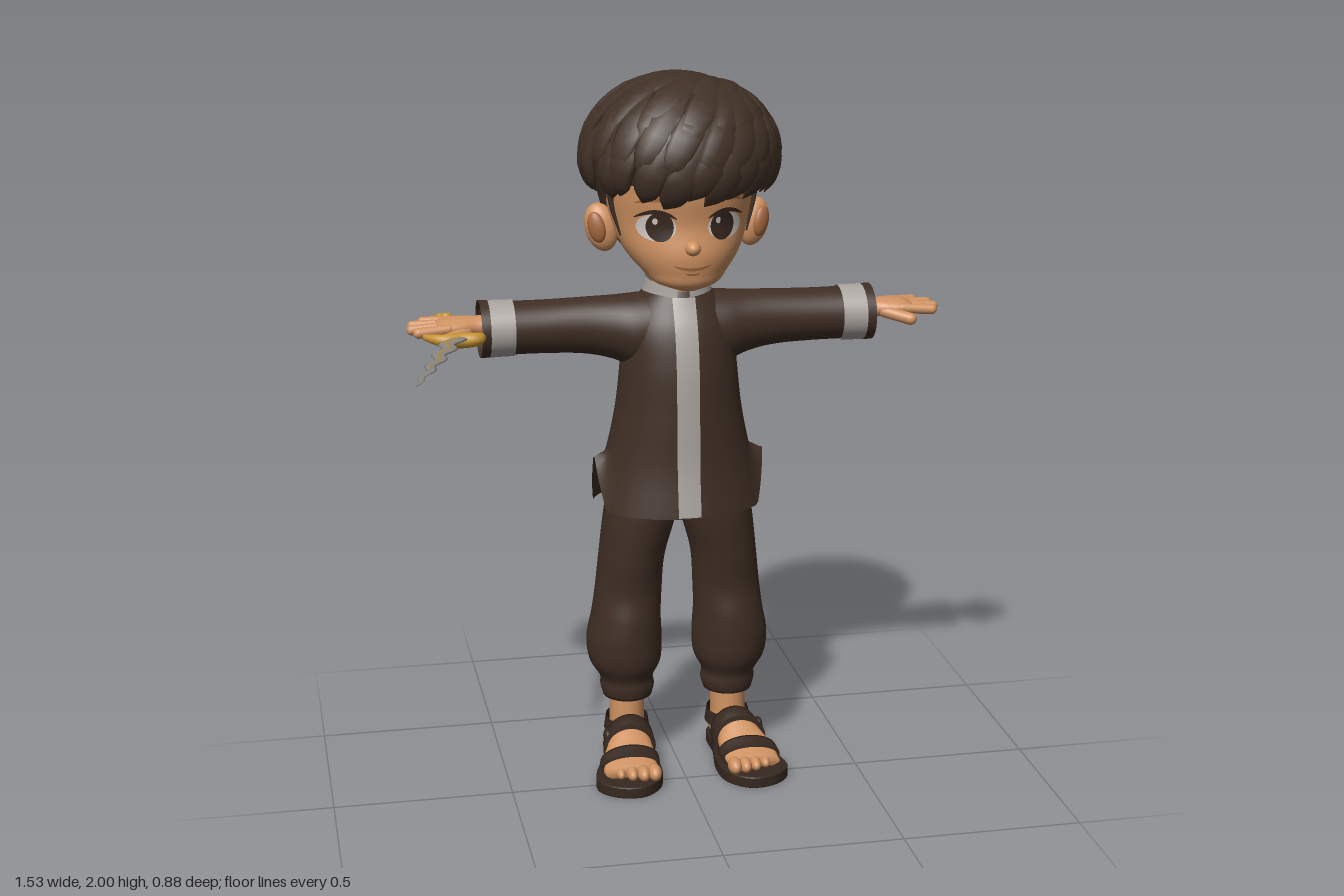
import * as THREE from 'three';

const mat = (name, color, side = THREE.FrontSide) => {
  const m = new THREE.MeshStandardMaterial({ color, side });
  m.name = name;
  return m;
};
const skin = mat('skin', 0xcf9262), shade = mat('skinShade', 0xa5683f);
const hair = mat('hair', 0x413126, THREE.DoubleSide), cloth = mat('cloth', 0x3f2e24, THREE.DoubleSide);
const trim = mat('trim', 0xaaa49f, THREE.DoubleSide), sandal = mat('sandal', 0x36281f, THREE.DoubleSide);
const gold = mat('gold', 0xc49132), steel = mat('steel', 0x8d8883);
const white = mat('eyeWhite', 0xd0c8c2), iris = mat('iris', 0x38281f);

let seed = 7;
const rand = () => (seed = (seed * 16807) % 2147483647) / 2147483647;
const V = (x, y, z) => new THREE.Vector3(x, y, z);

export function createModel() {
  const root = new THREE.Group();
  root.name = 'swordBoy';
  const add = (name, geo, m, parent = root) => {
    const mesh = new THREE.Mesh(geo, m);
    mesh.name = name;
    parent.add(mesh);
    return mesh;
  };

  // Surface through rings of points
  const surface = (rings, closed = true, caps = true, flip = false) => {
    const n = rings[0].length, pos = [], idx = [];
    const tri = (a, b, c) => flip ? idx.push(a, c, b) : idx.push(a, b, c);
    rings.forEach(r => r.forEach(p => pos.push(p.x, p.y, p.z)));
    for (let i = 0; i < rings.length - 1; i++) for (let j = 0; j < (closed ? n : n - 1); j++) {
      const k = (j + 1) % n, a = i * n + j, b = i * n + k;
      tri(a, a + n, b);
      tri(b, a + n, b + n);
    }
    if (caps && closed) [0, rings.length - 1].forEach((ri, end) => {
      const c = rings[ri].reduce((s, p) => s.add(p), V(0, 0, 0)).divideScalar(n), ci = pos.length / 3;
      pos.push(c.x, c.y, c.z);
      for (let j = 0; j < n; j++) {
        const a = ri * n + j, b = ri * n + (j + 1) % n;
        end ? tri(ci, b, a) : tri(ci, a, b);
      }
    });
    const g = new THREE.BufferGeometry();
    g.setAttribute('position', new THREE.Float32BufferAttribute(pos, 3));
    g.setIndex(idx);
    g.computeVertexNormals();
    return g;
  };

  // Sections are [t, centreA, centreB, radiusA, radiusB]; axes: y (x,z), x (z,y), z (y,x)
  const sampler = secs => {
    const it = new THREE.CubicInterpolant(secs.map(s => s[0]), secs.flatMap(s => s.slice(1)), 4);
    return t => Array.from(it.evaluate(t));
  };
  const loft = (secs, axis = 'y', o = {}) => {
    const { s = 1, grow = 0, n = 40, rows = 40, arc = null, open = false } = o;
    const from = o.from ?? secs[0][0], to = o.to ?? secs.at(-1)[0], f = sampler(secs), rings = [];
    for (let i = 0; i <= rows; i++) {
      const t = from + (to - from) * i / rows, [a, b, ra, rb] = f(t), ring = [];
      for (let j = 0; j < (arc ? n + 1 : n); j++) {
        const th = arc ? arc[0] + (arc[1] - arc[0]) * j / n : j / n * Math.PI * 2;
        const p = a + Math.max(ra + grow, 0.001) * Math.cos(th), q = b + Math.max(rb + grow, 0.001) * Math.sin(th);
        ring.push(axis === 'y' ? V(p * s, t, q) : axis === 'x' ? V(t * s, q, p) : V(q * s, p, t));
      }
      rings.push(ring);
    }
    return surface(rings, !arc, !open, s < 0);
  };

  // Tapered lens-shaped strand along a path
  const strand = (pts, up, width, thick, n = 8, rows = 12) => {
    const curve = new THREE.CatmullRomCurve3(pts), rings = [];
    for (let i = 0; i <= rows; i++) {
      const t = i / rows, p = curve.getPoint(t), T = curve.getTangent(t);
      const B = T.clone().cross(up(p)).normalize(), N = B.clone().cross(T).normalize();
      rings.push(Array.from({ length: n }, (_, j) => p.clone()
        .addScaledVector(B, width(t) * Math.cos(j / n * Math.PI * 2))
        .addScaledVector(N, thick(t) * Math.sin(j / n * Math.PI * 2))));
    }
    return surface(rings);
  };
  const rod = (name, a, b, r, m, parent) => {
    const d = b.clone().sub(a), mesh = add(name, new THREE.CapsuleGeometry(r, d.length(), 6, 14), m, parent);
    mesh.position.copy(a).addScaledVector(d, 0.5);
    mesh.quaternion.setFromUnitVectors(V(0, 1, 0), d.normalize());
  };
  const ball = (name, x, y, z, rx, ry, rz, m, parent) => {
    const b = add(name, new THREE.SphereGeometry(1, 24, 16), m, parent);
    b.position.set(x, y, z);
    b.scale.set(rx, ry, rz);
    return b;
  };

  // Tunic with pointed side slits
  const tunicS = [[0.775, 0, -0.195, 0.243, 0.185], [0.9, 0, -0.19, 0.212, 0.163], [1.05, 0, -0.182, 0.18, 0.15],
    [1.2, 0, -0.18, 0.163, 0.14], [1.3, 0, -0.187, 0.155, 0.125], [1.36, 0, -0.193, 0.125, 0.103], [1.4, 0, -0.193, 0.085, 0.085]];
  const tunic = loft(tunicS, 'y', { n: 96, rows: 60, open: true }), tp = tunic.attributes.position;
  for (let i = 0; i < tp.count; i++) {
    const y = tp.getY(i), lift = 0.16 * Math.max(0, 1 - Math.abs(tp.getZ(i) + 0.175) / 0.065);
    if (y < 0.94) tp.setY(i, y + lift * (0.94 - y) / 0.165);
  }
  tunic.computeVertexNormals();
  add('tunic', tunic, cloth);
  const onFront = (f, x, y) => {
    const [a, b, ra, rb] = f(y);
    return b + rb * Math.sqrt(Math.max(0, 1 - ((x - a) / ra) ** 2));
  };
  const strip = new THREE.PlaneGeometry(0.064, 0.605, 6, 40).translate(0, 1.082, 0), tf = sampler(tunicS);
  const sp = strip.attributes.position;
  for (let i = 0; i < sp.count; i++) sp.setZ(i, onFront(tf, sp.getX(i), sp.getY(i)) + 0.005);
  strip.computeVertexNormals();
  add('frontTrim', strip, trim);

  // Standing collar, open at the front and higher at the back
  const collar = loft([[1.375, 0, -0.193, 0.1, 0.098], [1.4, 0, -0.193, 0.094, 0.093], [1.432, 0, -0.193, 0.09, 0.09]], 'y',
    { arc: [Math.PI * 0.56, Math.PI * 2.44], n: 48, rows: 6 });
  const cp = collar.attributes.position;
  for (let i = 0; i < cp.count; i++) cp.setY(i, cp.getY(i) - (cp.getZ(i) + 0.193) * 0.2);
  collar.computeVertexNormals();
  add('collar', collar, trim);
  add('neck', loft([[1.34, 0, -0.193, 0.078, 0.078], [1.42, 0, -0.188, 0.07, 0.07], [1.52, 0, -0.18, 0.075, 0.075]]), skin);

  const armS = [[0.04, -0.19, 1.29, 0.1, 0.1], [0.13, -0.19, 1.28, 0.096, 0.103], [0.18, -0.19, 1.29, 0.084, 0.09],
    [0.25, -0.19, 1.298, 0.074, 0.08], [0.38, -0.193, 1.3, 0.074, 0.074], [0.552, -0.195, 1.3, 0.082, 0.075]];
  const legS = [[0.195, 0.148, -0.198, 0.07, 0.074], [0.225, 0.148, -0.2, 0.078, 0.083], [0.25, 0.15, -0.2, 0.076, 0.084],
    [0.3, 0.153, -0.205, 0.102, 0.112], [0.37, 0.155, -0.207, 0.108, 0.122], [0.44, 0.15, -0.203, 0.1, 0.117],
    [0.52, 0.143, -0.2, 0.096, 0.104], [0.62, 0.134, -0.196, 0.094, 0.113], [0.76, 0.108, -0.192, 0.103, 0.123], [0.92, 0.09, -0.19, 0.09, 0.115]];
  const footS = [[-0.272, 0.06, 0.15, 0.022, 0.025], [-0.25, 0.066, 0.15, 0.045, 0.046], [-0.2, 0.075, 0.15, 0.055, 0.055],
    [-0.11, 0.075, 0.158, 0.062, 0.06], [-0.03, 0.058, 0.172, 0.036, 0.076], [0.04, 0.048, 0.177, 0.02, 0.075]];
  const soleOutline = [[0.15, -0.29], [0.195, -0.262], [0.215, -0.15], [0.262, -0.03], [0.27, 0.045], [0.225, 0.095],
    [0.155, 0.105], [0.1, 0.055], [0.085, -0.03], [0.1, -0.15], [0.105, -0.262]];

  for (const s of [1, -1]) {
    const side = s > 0 ? 'left' : 'right';
    const arm = new THREE.Group(), leg = new THREE.Group();
    arm.name = side + 'Arm';
    leg.name = side + 'Leg';
    root.add(arm, leg);

    // Sleeve, cuff band and hand
    add('sleeve', loft(armS, 'x', { s, open: true }), cloth, arm);
    add('sleeveEnd', loft(armS, 'x', { s, from: 0.528, to: 0.553, grow: 0.004, rows: 3, open: true }), cloth, arm);
    add('cuffBand', loft(armS, 'x', { s, from: 0.46, to: 0.528, grow: 0.004, rows: 6, open: true }), trim, arm);
    add('hand', loft([[0.48, -0.195, 1.305, 0.042, 0.036], [0.56, -0.195, 1.31, 0.036, 0.028], [0.6, -0.197, 1.312, 0.05, 0.026],
      [0.645, -0.2, 1.313, 0.058, 0.022], [0.67, -0.2, 1.313, 0.045, 0.012]], 'x', { s }), skin, arm);
    [[-0.248, -0.275, 0.7], [-0.217, -0.232, 0.732], [-0.184, -0.186, 0.737], [-0.153, -0.145, 0.722]].forEach(([z0, z1, x]) =>
      rod('finger', V(s * 0.64, 1.313, z0), V(s * x, 1.308, z1), 0.0145, skin, arm));
    rod('thumb', V(s * 0.59, 1.303, -0.165), V(s * 0.655, 1.288, -0.123), 0.017, skin, arm);

    // Trouser leg, foot and sandal
    add('trouserLeg', loft(legS, 'y', { s, rows: 70 }), cloth, leg);
    add('ankle', loft([[0.06, 0.15, -0.2, 0.052, 0.062], [0.14, 0.15, -0.2, 0.05, 0.058], [0.24, 0.148, -0.2, 0.052, 0.056]], 'y', { s }), skin, leg);
    add('foot', loft(footS, 'z', { s }), skin, leg);
    for (let i = 0; i < 5; i++) {
      const r = 0.023 - i * 0.002;
      ball('toe', s * (0.116 + i * 0.031), 0.03 + r, 0.06 - i * i * 0.0035, r * 0.85, r, 0.034, skin, leg);
    }
    const outline = new THREE.CatmullRomCurve3(soleOutline.map(([x, z]) => V(s * x, -z, 0)), true).getPoints(60);
    add('sole', new THREE.ExtrudeGeometry(new THREE.Shape(outline.map(p => new THREE.Vector2(p.x, p.y))),
      { depth: 0.026, bevelSize: 0.004, bevelThickness: 0.004, bevelSegments: 2 }).rotateX(-Math.PI / 2).translate(0, 0.004, 0), sandal, leg);
    const strap = (from, to, grow) => add('strap', loft(footS, 'z', { s, from, to, grow, rows: 6 }), sandal, leg);
    strap(-0.03, 0.005, 0.009);
    strap(-0.135, -0.085, 0.012);
    add('heelStrap', loft([[0.085, 0.15, -0.2, 0.066, 0.083], [0.125, 0.15, -0.2, 0.06, 0.077]], 'y', { s, rows: 4, open: true }), sandal, leg);
    rod('sideStrap', V(s * 0.212, 0.04, -0.19), V(s * 0.212, 0.1, -0.13), 0.011, sandal, leg);
    ball('buckle', s * 0.222, 0.1, -0.11, 0.012, 0.022, 0.024, sandal, leg);
  }

  // Head
  const head = new THREE.Group();
  head.name = 'head';
  root.add(head);
  const headS = [[1.422, 0, -0.05, 0.03, 0.035], [1.437, 0, -0.06, 0.078, 0.068], [1.47, 0, -0.095, 0.117, 0.115], [1.52, 0, -0.135, 0.158, 0.163],
    [1.6, 0, -0.17, 0.19, 0.187], [1.68, 0, -0.175, 0.203, 0.203], [1.78, 0, -0.17, 0.2, 0.2], [1.9, 0, -0.17, 0.13, 0.14]];
  add('face', loft(headS, 'y', { n: 64, rows: 60 }), skin, head);
  const hf = sampler(headS);
  // Thin painted oval that follows the face
  const patch = (name, cx, cy, rx, ry, off, m, bend = 0) => {
    const g = new THREE.RingGeometry(0.001, 1, 32, 5), p = g.attributes.position;
    for (let i = 0; i < p.count; i++) {
      const u = p.getX(i), x = cx + rx * u, y = cy + ry * p.getY(i) + bend * u * u;
      p.setXYZ(i, x, y, onFront(hf, x, y) + off);
    }
    g.computeVertexNormals();
    add(name, g, m, head);
  };
  ball('nose', 0, 1.547, 0.026, 0.021, 0.02, 0.027, skin, head);
  patch('mouth', 0, 1.49, 0.052, 0.0045, 0.004, shade, 0.01);
  patch('lowerLip', 0, 1.475, 0.02, 0.003, 0.003, shade, 0.002);
  for (const s of [1, -1]) {
    patch('eyeWhite', s * 0.093, 1.602, 0.05, 0.037, 0.003, white);
    patch('iris', s * 0.085, 1.604, 0.035, 0.04, 0.005, iris);
    patch('eyeGlint', s * 0.085 - 0.013, 1.619, 0.007, 0.009, 0.007, white);
    patch('upperLash', s * 0.095, 1.645, 0.053, 0.006, 0.006, iris, -0.019);
    patch('eyebrow', s * 0.095, 1.678, 0.052, 0.006, 0.004, shade, -0.012);
    const ear = ball('ear', s * 0.213, 1.573, -0.185, 0.045, 0.068, 0.034, skin, head);
    ear.rotation.set(0, s * 0.35, s * -0.25);
    const inner = ball('innerEar', s * 0.229, 1.577, -0.162, 0.025, 0.043, 0.016, shade, head);
    inner.rotation.set(0, s * 0.5, s * -0.25);
    add('sideburn', strand([V(s * 0.2, 1.74, -0.12), V(s * 0.196, 1.65, -0.118), V(s * 0.174, 1.565, -0.1)],
      () => V(s, 0, 0), t => 0.034 * (1 - t * 0.9), t => 0.012 * (1 - t * 0.8)), hair, head);
  }

  // Smooth hair at the back, then layered locks sweeping out from the crown
  add('napeHair', loft([[1.447, 0, -0.235, 0.06, 0.035], [1.5, 0, -0.235, 0.137, 0.085], [1.56, 0, -0.235, 0.18, 0.127],
    [1.65, 0, -0.23, 0.212, 0.173], [1.72, 0, -0.21, 0.225, 0.208], [1.82, 0, -0.19, 0.2, 0.2]]), hair, head);
  const C = V(0, 1.77, -0.157), R = V(0.262, 0.208, 0.268);
  const cap = add('hairCap', new THREE.SphereGeometry(0.95, 40, 24, 0, Math.PI * 2, 0, 1.82), hair, head);
  cap.position.copy(C);
  cap.scale.copy(R);
  const crown = V(0.42, 0.9, -0.15).normalize();
  const outward = p => p.clone().sub(C).divide(R).normalize();
  [[26, -0.45, 0.35, 0.048, 1], [22, -0.12, 0.2, 0.05, 1.01], [17, 0.3, 0.1, 0.05, 1.02], [9, 0.72, 0, 0.045, 1.02]].forEach(
    ([count, elev, start, w, lift], row) => {
      for (let k = 0; k < count; k++) {
        const phi = (k + row * 0.5 + (rand() - 0.5) * 0.5) / count * Math.PI * 2, e = elev + (rand() - 0.5) * 0.2;
        const tip = V(Math.cos(phi) * Math.cos(e), Math.sin(e), Math.sin(phi) * Math.cos(e));
        const pts = [0, 0.25, 0.5, 0.75, 1].map(u => crown.clone().lerp(tip, start + (1 - start) * u).normalize()
          .multiplyScalar(0.955 + (lift - 0.955) * Math.sin(u * 2.4) + 0.02 * u * u).multiply(R).add(C));
        add('hairLock', strand(pts, outward, t => w * (0.35 + 0.65 * Math.sin(t * 2.6)) * (1 - t ** 4) + 0.001,
          t => 0.017 * (1 - t ** 3) + 0.001), hair, head);
      }
    });

  // Wavy dagger held across the right palm
  const sword = new THREE.Group();
  sword.name = 'dagger';
  root.add(sword);
  const blade = (end, lift) => Array.from({ length: 29 }, (_, i) => {
    const t = i / 28 * end, wave = 0.011 * Math.sin(t * Math.PI * 9) * (1 - t * 0.6);
    return V(-0.622 - 0.157 * t + wave, 1.3 + 0.02 * t + lift, -0.12 + 0.555 * t);
  });
  const up = () => V(0, 1, 0);
  add('blade', strand(blade(1, 0), up, t => 0.025 * (1 - t) ** 0.6 + 0.001, t => 0.006 * (1 - t * 0.8), 8, 70), steel, sword);
  add('bladeInlay', strand(blade(0.72, 0), up, t => 0.0055 * (1 - t) + 0.001, t => 0.0075 * (1 - t * 0.6), 6, 60), gold, sword);
  add('guard', strand([V(-0.71, 1.3, -0.135), V(-0.66, 1.295, -0.105), V(-0.61, 1.292, -0.11), V(-0.565, 1.295, -0.105), V(-0.545, 1.3, -0.13)],
    up, t => 0.006 + 0.018 * Math.sin(t * Math.PI), t => 0.008 + 0.014 * Math.sin(t * Math.PI), 12, 24), gold, sword);
  rod('grip', V(-0.632, 1.285, -0.12), V(-0.645, 1.283, -0.29), 0.017, gold, sword);
  ball('pommel', -0.648, 1.285, -0.31, 0.055, 0.03, 0.036, gold, sword);
  for (let i = 0; i < 16; i++) {
    const a = i * 2.4, h = 1 - 2 * (i + 0.5) / 16, r = Math.sqrt(1 - h * h);
    ball('pommelCarving', -0.648 + 0.05 * r * Math.cos(a), 1.285 + 0.028 * h, -0.31 + 0.034 * r * Math.sin(a), 0.015, 0.012, 0.014, gold, sword);
  }

  root.position.x = 0.013;
  const model = new THREE.Group();
  model.name = 'figure';
  model.add(root);
  return model;
}
